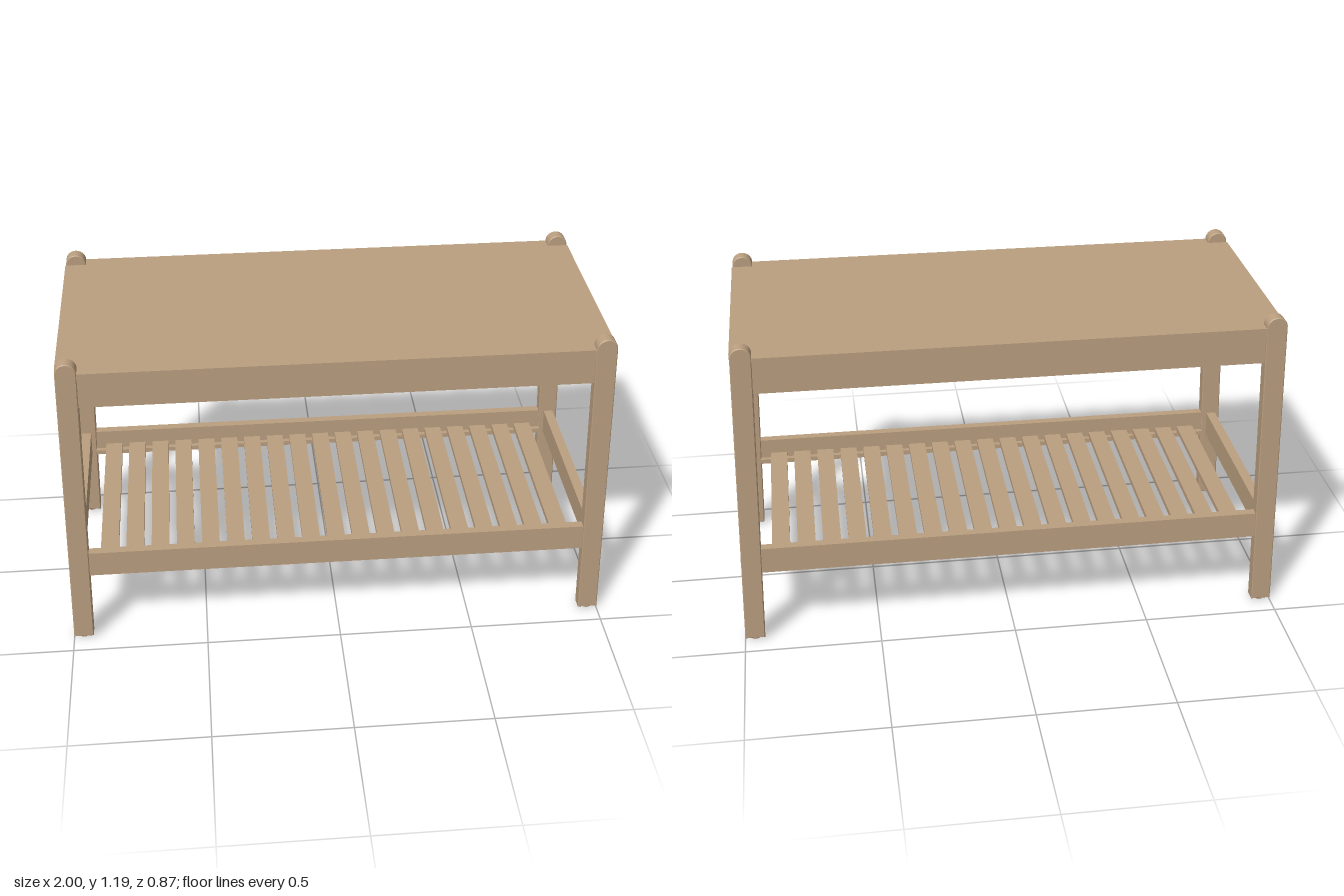
import * as THREE from 'three';

export function createModel() {
  const model = new THREE.Group();
  model.name = 'slattedBench';
  const wood = new THREE.MeshStandardMaterial({ color: 0xbb9f80 });
  wood.name = 'oak';

  function add(parent, name, geometry, x = 0, y = 0, z = 0) {
    const mesh = new THREE.Mesh(geometry, wood);
    mesh.name = name;
    mesh.position.set(x, y, z);
    parent.add(mesh);
    return mesh;
  }
  const box = (parent, name, w, h, d, x, y, z) =>
    add(parent, name, new THREE.BoxGeometry(w, h, d), x, y, z);

  const lean = Math.atan(0.033 / 1.145);
  const legX = (y) => 0.93 + (1.155 - y) * Math.tan(lean); // leg centre line

  // Leaning leg with a round top
  const legShape = new THREE.Shape();
  legShape.moveTo(0.927, 0.01);
  legShape.lineTo(1.0, 0.01);
  legShape.lineTo(0.967, 1.155);
  legShape.absarc(0.93, 1.155, 0.037, 0, Math.PI, false);
  legShape.lineTo(0.927, 0.01);
  const legGeometry = new THREE.ExtrudeGeometry(legShape, {
    depth: 0.042, bevelSize: 0.003, bevelThickness: 0.003, bevelOffset: -0.003,
    bevelSegments: 1, curveSegments: 20,
  });

  // Two mirrored end frames
  for (const side of [1, -1]) {
    const end = new THREE.Group();
    end.name = side > 0 ? 'leftEnd' : 'rightEnd';
    if (side < 0) end.rotation.y = Math.PI;
    model.add(end);

    for (const s of [1, -1]) {
      add(end, 'leg', legGeometry, 0, 0, s * 0.409 - 0.021);
      add(end, 'footPad', new THREE.CylinderGeometry(0.015, 0.015, 0.012, 16), 0.963, 0.006, s * 0.409);
      // Bolt heads on the outer faces
      for (const y of [1.065, 0.34]) {
        const bolt = add(end, 'bolt', new THREE.CylinderGeometry(0.01, 0.01, 0.004, 6),
          legX(y) + 0.036, y, s * 0.409);
        bolt.rotation.z = lean - Math.PI / 2;
      }
    }

    // Cross rails follow the lean of the legs
    box(end, 'upperSideRail', 0.036, 0.1, 0.78, legX(1.065) + 0.002, 1.065, 0).rotation.z = lean;
    box(end, 'lowerSideRail', 0.036, 0.1, 0.78, legX(0.34) + 0.002, 0.34, 0).rotation.z = lean;
  }

  // Long rails and the cleats that carry the slats
  for (const s of [1, -1]) {
    box(model, 'upperLongRail', 1.83, 0.1, 0.032, 0, 1.066, s * 0.408);
    box(model, 'lowerLongRail', 1.86, 0.1, 0.032, 0, 0.34, s * 0.408);
    box(model, 'slatCleat', 1.84, 0.018, 0.02, 0, 0.302, s * 0.383);
  }

  // Seat board, notched at the corners around the legs
  const a = 0.97, b = 0.432, nx = 0.894, nz = 0.385;
  const corners = [
    [nx, -b], [nx, -nz], [a, -nz], [a, nz], [nx, nz], [nx, b],
    [-nx, b], [-nx, nz], [-a, nz], [-a, -nz], [-nx, -nz], [-nx, -b],
  ];
  const seatShape = new THREE.Shape(corners.map(([x, z]) => new THREE.Vector2(x, z)));
  const seatGeometry = new THREE.ExtrudeGeometry(seatShape, { depth: 0.034, bevelEnabled: false });
  seatGeometry.rotateX(-Math.PI / 2);
  add(model, 'seat', seatGeometry, 0, 1.119, 0);
  // Thin spacer making the shadow line under the seat
  box(model, 'seatSpacer', 1.8, 0.006, 0.79, 0, 1.117, 0);

  // Shelf slats
  const count = 19, pitch = 0.094;
  for (let i = 0; i < count; i++) {
    box(model, 'shelfSlat', 0.066, 0.02, 0.785, (i - (count - 1) / 2) * pitch, 0.321, 0);
  }
  return model;
}
